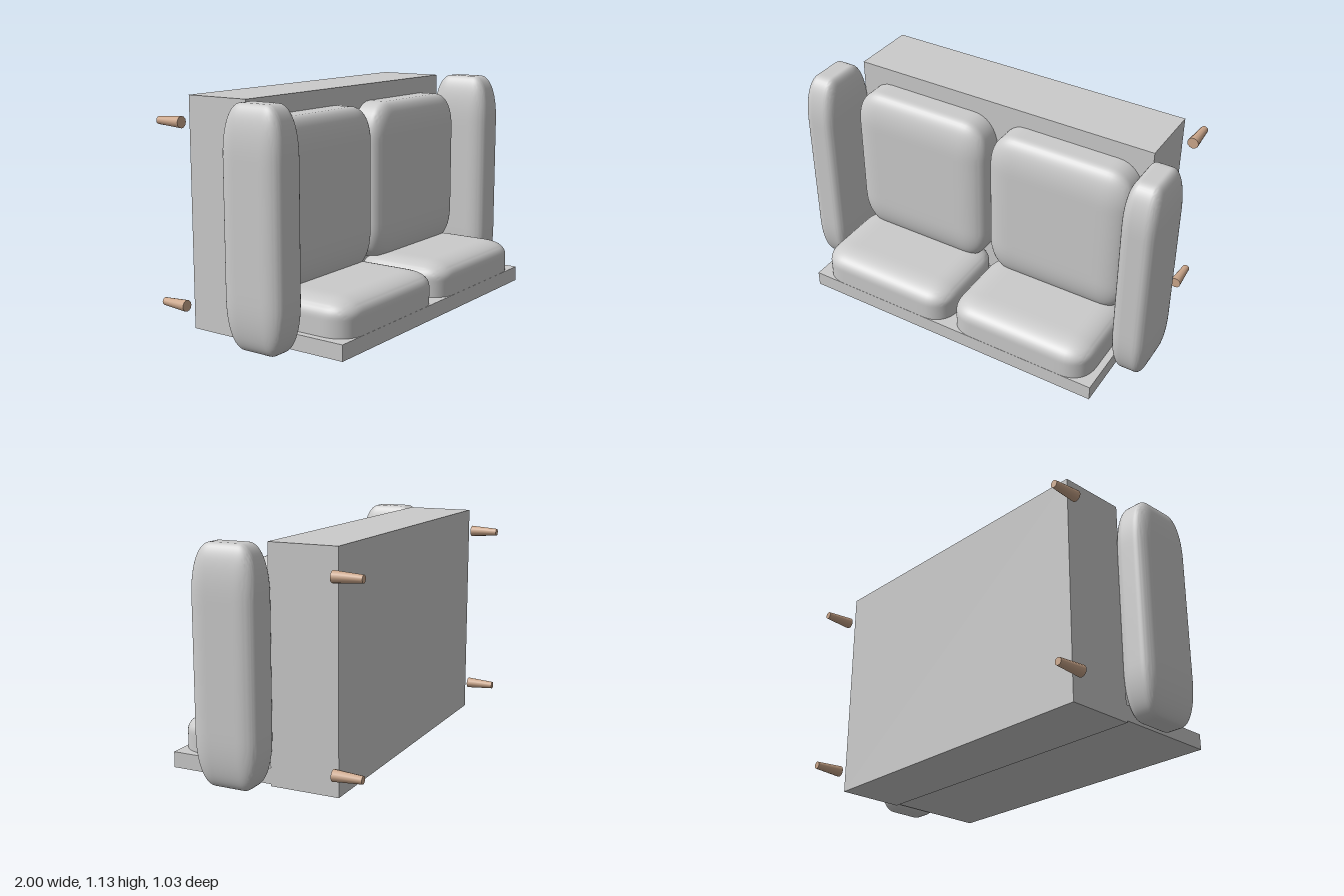
import * as THREE from 'three';
import { toCreasedNormals } from 'three/addons/utils/BufferGeometryUtils.js';

const grey = new THREE.MeshStandardMaterial({ color: 0xcccccc });
const wood = new THREE.MeshStandardMaterial({ color: 0xcda88c });

// Pillow-shaped block between two corners, with its own rounding radius per axis.
// flatAxis ('y' or 'z') keeps the low side of that axis square, where it rests on a panel.
function pillow(min, max, radius, flatAxis) {
  const lo = new THREE.Vector3(...min), hi = new THREE.Vector3(...max);
  if (flatAxis) lo[flatAxis] -= hi[flatAxis] - lo[flatAxis];
  const half = hi.clone().sub(lo).multiplyScalar(0.5);
  const centre = hi.clone().add(lo).multiplyScalar(0.5);
  const r = new THREE.Vector3(...radius);
  const core = half.clone().sub(r);
  const geo = new THREE.BoxGeometry(2, 2, 2, 28, 28, 28);
  const pos = geo.attributes.position;
  const p = new THREE.Vector3(), inner = new THREE.Vector3();
  const n = 2.2; // slightly squarer than an ellipse
  for (let i = 0; i < pos.count; i++) {
    p.fromBufferAttribute(pos, i).multiply(half);
    inner.copy(p).clamp(core.clone().negate(), core);
    p.sub(inner).divide(r);
    const len = (Math.abs(p.x) ** n + Math.abs(p.y) ** n + Math.abs(p.z) ** n) ** (1 / n);
    p.divideScalar(len).multiply(r).add(inner);
    if (flatAxis) p[flatAxis] = Math.max(p[flatAxis], 0);
    p.add(centre);
    pos.setXYZ(i, p.x, p.y, p.z);
  }
  return toCreasedNormals(geo, 0.8);
}

function block(min, max) {
  const s = max.map((v, i) => v - min[i]);
  return new THREE.BoxGeometry(...s).translate(...min.map((v, i) => v + s[i] / 2));
}

export function createModel() {
  const sofa = new THREE.Group();
  sofa.name = 'sofa';
  const add = (name, geo, material = grey) => {
    const mesh = new THREE.Mesh(geo, material);
    mesh.name = name;
    sofa.add(mesh);
    return mesh;
  };

  // The sofa lies on its back: seat base upright, backrest panel along the floor
  add('seatBase', block([-0.825, 0, -0.368], [0.825, 1.133, -0.02]));
  add('backPanel', block([-0.825, 0.01, -0.02], [0.825, 0.088, 0.513]));

  for (const [side, sx] of [['left', 1], ['right', -1]]) {
    const span = (a, b) => (sx > 0 ? [a, b] : [-b, -a]);

    // Seat cushion, resting on the base
    let [x0, x1] = span(0.01, 0.79);
    add(side + 'SeatCushion', pillow([x0, 0.215, -0.02], [x1, 1.045, 0.147], [0.14, 0.19, 0.08], 'z'));

    // Back cushion, resting on the back panel
    add(side + 'BackCushion', pillow([x0, 0.088, -0.02], [x1, 0.255, 0.512], [0.13, 0.08, 0.14], 'y'));

    // Armrest
    [x0, x1] = span(0.8, 1);
    add(side + 'Armrest', pillow([x0, 0.004, -0.045], [x1, 1.133, 0.3], [0.065, 0.25, 0.1]));

    // Tapered legs pointing backwards
    for (const [place, y] of [['Front', 1.01], ['Back', 0.125]]) {
      const leg = add(side + place + 'Leg', new THREE.CylinderGeometry(0.029, 0.019, 0.145, 12), wood);
      leg.rotation.x = Math.PI / 2;
      leg.position.set(sx * 0.878, y, -0.4405);
    }
  }
  return sofa;
}
